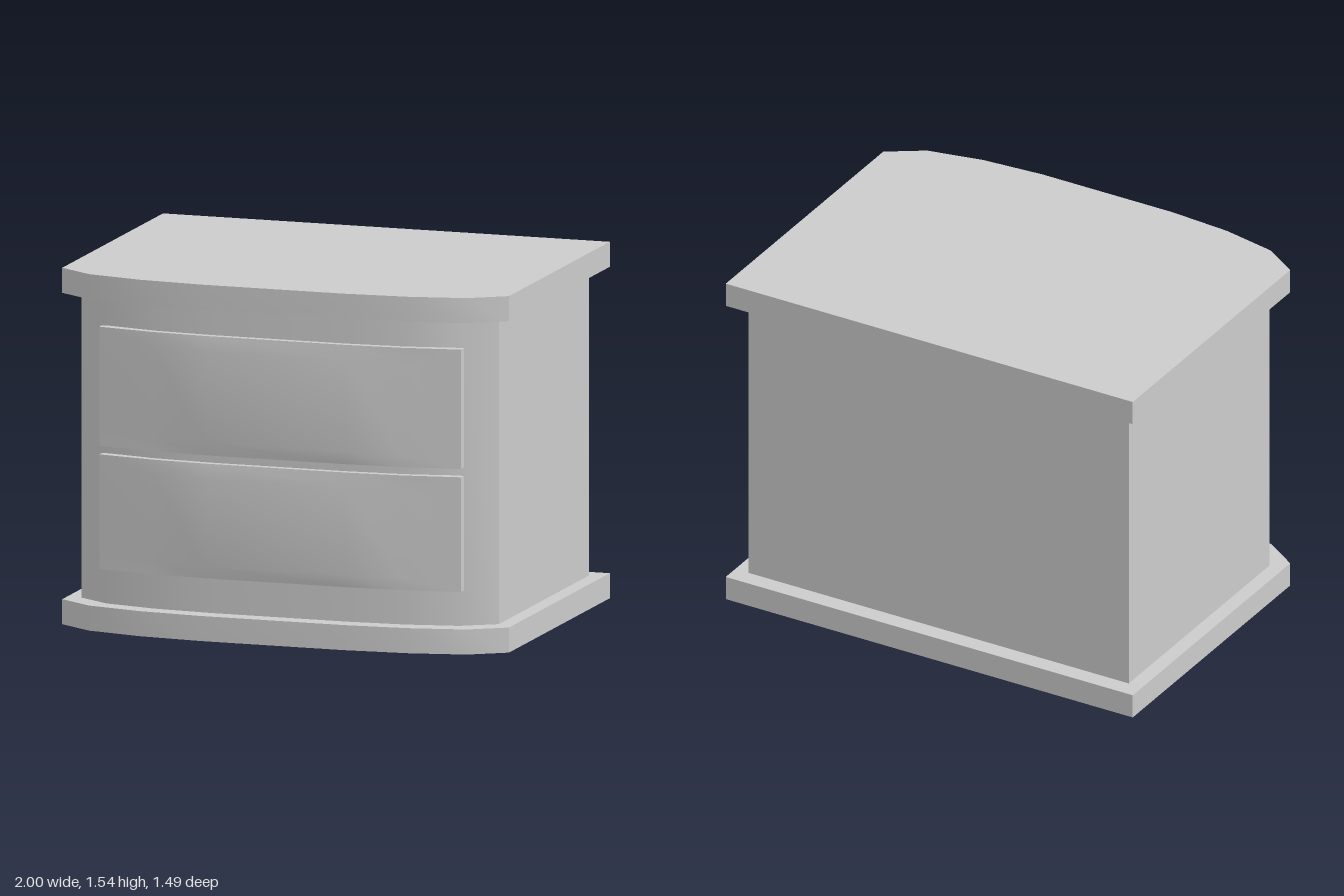
import * as THREE from 'three';
import { toCreasedNormals } from 'three/addons/utils/BufferGeometryUtils.js';

const material = new THREE.MeshStandardMaterial({ color: 0xcccccc });

// Vertical prism with a flat back and a bowed front; bow lists [x, z] on the left half, outside in.
function bowedGeometry(bow, back, bottom, height, steps = 1) {
  const mirrored = bow.map(([x, z]) => [-x, z]).reverse();
  const outline = [[-bow[0][0], back], [bow[0][0], back], ...bow, ...mirrored];
  const shape = new THREE.Shape(outline.map(([x, z]) => new THREE.Vector2(x, -z)));
  const geometry = new THREE.ExtrudeGeometry(shape, { depth: height, steps, bevelEnabled: false });
  geometry.rotateX(-Math.PI / 2);
  geometry.translate(0, bottom, 0);
  return geometry;
}

function addPart(group, name, geometry) {
  const mesh = new THREE.Mesh(toCreasedNormals(geometry, 0.6), material);
  mesh.name = name;
  group.add(mesh);
}

// Drawer front: the middle swells slightly between its top and bottom edges.
function drawerGeometry(bottom, height) {
  const bow = [[0.81, 0.64], [0.56, 0.68], [0.32, 0.695]];
  const geometry = bowedGeometry(bow, 0.605, bottom, height, 3);
  const p = geometry.attributes.position;
  const rows = [0, 0.11, 0.87, 1];
  for (let i = 0; i < p.count; i++) {
    const row = Math.round(((p.getY(i) - bottom) / height) * 3);
    p.setY(i, bottom + rows[row] * height);
    const inner = row === 1 || row === 2;
    if (inner && p.getZ(i) > 0.69) p.setZ(i, 0.706);
  }
  return geometry;
}

export function createModel() {
  const group = new THREE.Group();
  group.name = 'nightstand';

  // Matching base and top slabs
  const slabBow = [[1, 0.57], [0.845, 0.672], [0.6, 0.723], [0.32, 0.744]];
  addPart(group, 'baseSlab', bowedGeometry(slabBow, -0.744, 0, 0.108));
  addPart(group, 'topSlab', bowedGeometry(slabBow, -0.744, 1.428, 0.108));

  // Cabinet body
  const bodyBow = [[0.934, 0.51], [0.79, 0.602], [0.56, 0.648], [0.3, 0.665]];
  addPart(group, 'cabinetBody', bowedGeometry(bodyBow, -0.665, 0.108, 1.32));

  // Two drawers
  addPart(group, 'lowerDrawer', drawerGeometry(0.262, 0.494));
  addPart(group, 'upperDrawer', drawerGeometry(0.792, 0.514));

  return group;
}
